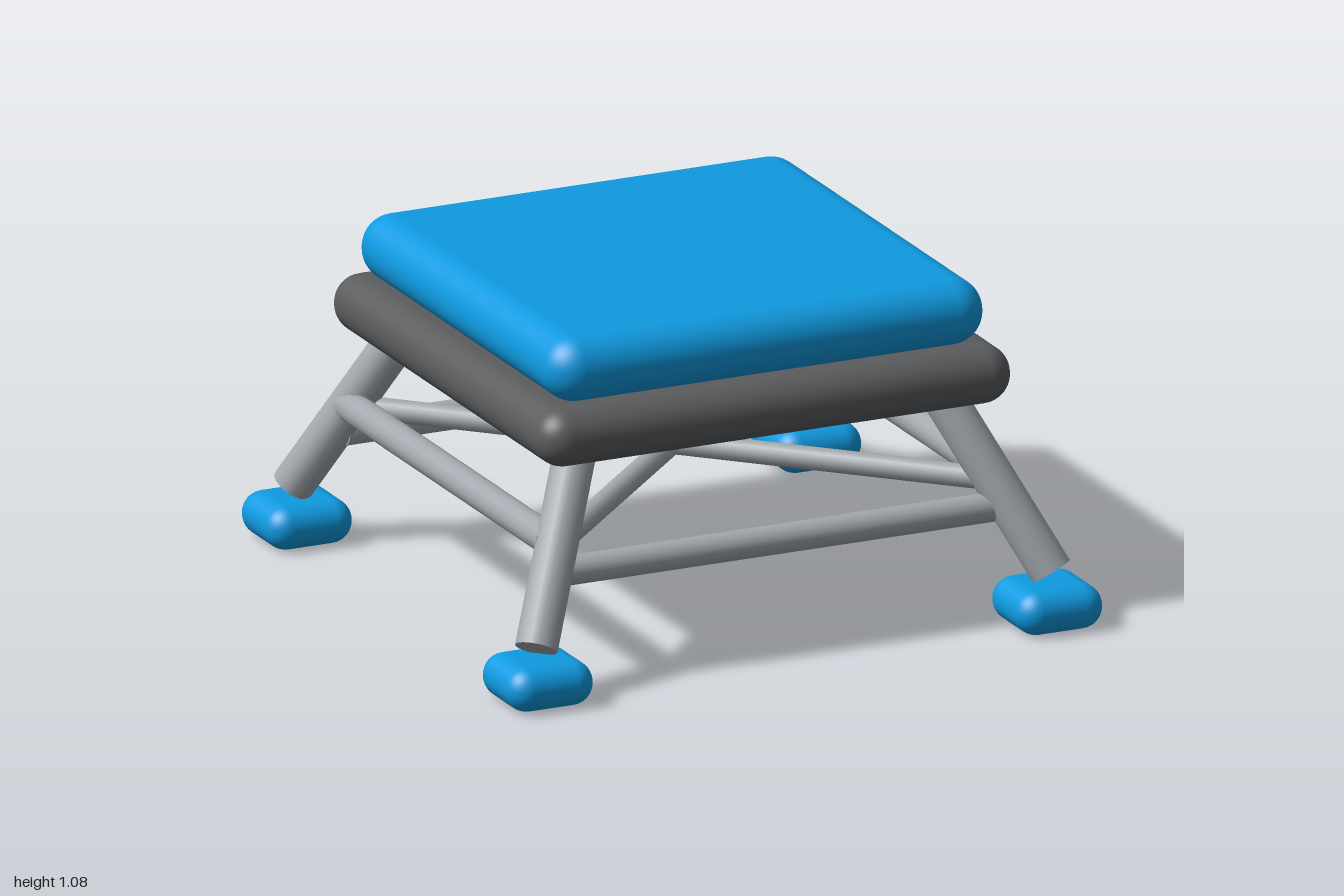
import * as THREE from 'three';
import { RoundedBoxGeometry } from 'three/addons/geometries/RoundedBoxGeometry.js';

function material(name, color) {
  const m = new THREE.MeshStandardMaterial({ color });
  m.name = name;
  return m;
}

export function createModel() {
  const blue = material('blue padding', 0x0f9ae0);
  const dark = material('dark grey frame', 0x5a5c5e);
  const metal = material('light grey metal', 0xa3a9ae);

  const model = new THREE.Group();
  model.name = 'stool';

  const add = (name, geometry, mat) => {
    const mesh = new THREE.Mesh(geometry, mat);
    mesh.name = name;
    model.add(mesh);
    return mesh;
  };

  // square pad with rounded edges, standing between two heights
  const pad = (name, width, y0, y1, mat, x = 0, z = 0) => {
    const h = y1 - y0;
    const geometry = new RoundedBoxGeometry(width, h, width, 6, h * 0.49);
    add(name, geometry, mat).position.set(x, (y0 + y1) / 2, z);
  };

  // round bar between two points
  const bar = (name, a, b, radius) => {
    const from = new THREE.Vector3(...a);
    const to = new THREE.Vector3(...b);
    const dir = to.clone().sub(from);
    const mesh = add(name, new THREE.CylinderGeometry(radius, radius, dir.length(), 16), metal);
    mesh.position.copy(from).add(to).multiplyScalar(0.5);
    mesh.quaternion.setFromUnitVectors(new THREE.Vector3(0, 1, 0), dir.normalize());
  };

  // seat and the frame below it
  pad('seat', 1.47, 0.865, 1.075, blue);
  pad('seatFrame', 1.59, 0.687, 0.872, dark);

  // splayed legs and feet
  for (const sx of [-1, 1]) {
    for (const sz of [-1, 1]) {
      pad('foot', 0.285, 0, 0.14, blue, sx * 0.8575, sz * 0.8575);
      bar('leg', [sx * 0.867, 0.17, sz * 0.867], [sx * 0.597, 0.74, sz * 0.597], 0.066);
    }
  }

  // rails: front and back sit lower than the sides; two thinner bars cross below the seat
  for (const s of [-1, 1]) {
    bar('endRail', [-0.75, 0.362, s * 0.75], [0.75, 0.362, s * 0.75], 0.046);
    bar('sideRail', [s * 0.75, 0.455, -0.72], [s * 0.75, 0.455, 0.72], 0.049);
    bar('crossBar', [-0.73, 0.445, -s * 0.73], [0.73, 0.445, s * 0.73], 0.036);
  }

  return model;
}
